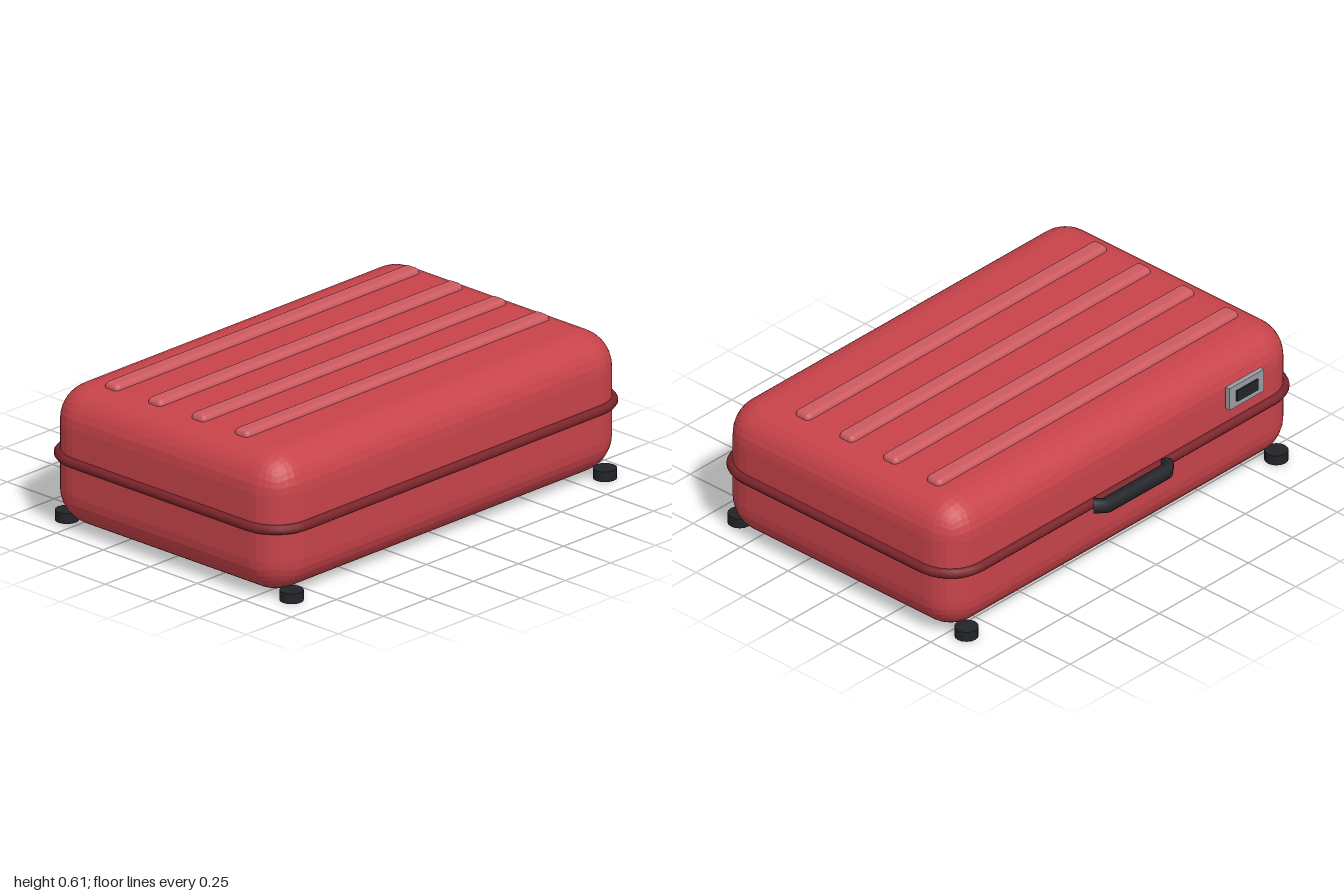
import * as THREE from 'three';
import { RoundedBoxGeometry } from 'three/addons/geometries/RoundedBoxGeometry.js';

const paint = (color, extra = {}) => new THREE.MeshStandardMaterial({ color, ...extra });

export function createModel() {
  const suitcase = new THREE.Group();
  suitcase.name = 'suitcase';
  const shellRed = paint(0xc8434a, { flatShading: true });
  const seamRed = paint(0x7a242a);
  const ribRed = paint(0xcc5a60);
  const black = paint(0x222428);
  const metal = paint(0x9a9da2);
  const centreZ = 0.03;

  const add = (name, geometry, material, x, y, z) => {
    const mesh = new THREE.Mesh(geometry, material);
    mesh.name = name;
    mesh.position.set(x, y, z);
    suitcase.add(mesh);
    return mesh;
  };

  // Path with straight pieces between its points
  const polyline = (points, closed = false) =>
    new THREE.CatmullRomCurve3(points, closed, 'catmullrom', 0);

  // Rounded hard shell
  add('shell', new RoundedBoxGeometry(1.95, 0.58, 1.24, 4, 0.15), shellRed, 0, 0.3, centreZ);

  // Seam bead running round the middle of the shell
  const hx = 0.98, hz = 0.625, r = 0.155;
  const outline = [];
  [[1, 1], [-1, 1], [-1, -1], [1, -1]].forEach(([sx, sz], corner) => {
    for (let i = 0; i <= 6; i++) {
      const a = (corner + i / 6) * Math.PI / 2;
      outline.push(new THREE.Vector3(
        sx * (hx - r) + r * Math.cos(a), 0, sz * (hz - r) + r * Math.sin(a)));
    }
  });
  add('seam', new THREE.TubeGeometry(polyline(outline, true), 200, 0.02, 10, true),
    seamRed, 0, 0.302, centreZ);

  // Raised ribs along the lid
  for (let i = 0; i < 4; i++) {
    add('rib', new RoundedBoxGeometry(1.69, 0.05, 0.077, 3, 0.022), ribRed,
      0, 0.587, 0.328 - 0.23 * i);
  }

  // Round feet under the corners
  for (const x of [-0.87, 0.87]) {
    for (const z of [-0.567, 0.627]) {
      add('foot', new THREE.CylinderGeometry(0.047, 0.047, 0.042, 16), black, x, 0.021, z);
    }
  }

  // Carrying handle with closed ends
  const bar = [[-0.205, -0.612], [-0.171, -0.646], [0.171, -0.646], [0.205, -0.612]]
    .map(([x, z]) => new THREE.Vector3(x, 0, z));
  add('handle', new THREE.TubeGeometry(polyline(bar), 9, 0.031, 10), black, 0, 0.302, 0);
  for (const s of [-1, 1]) {
    const cap = add('handleEnd', new THREE.CircleGeometry(0.031, 10), black, s * 0.205, 0.302, -0.612);
    cap.rotation.y = s * Math.PI / 4;
  }

  // Lock plate and its dark window on the back
  add('lockPlate', new THREE.BoxGeometry(0.195, 0.098, 0.02), metal, -0.647, 0.439, -0.61);
  add('lockWindow', new THREE.BoxGeometry(0.118, 0.048, 0.02), black, -0.647, 0.439, -0.617);

  return suitcase;
}
